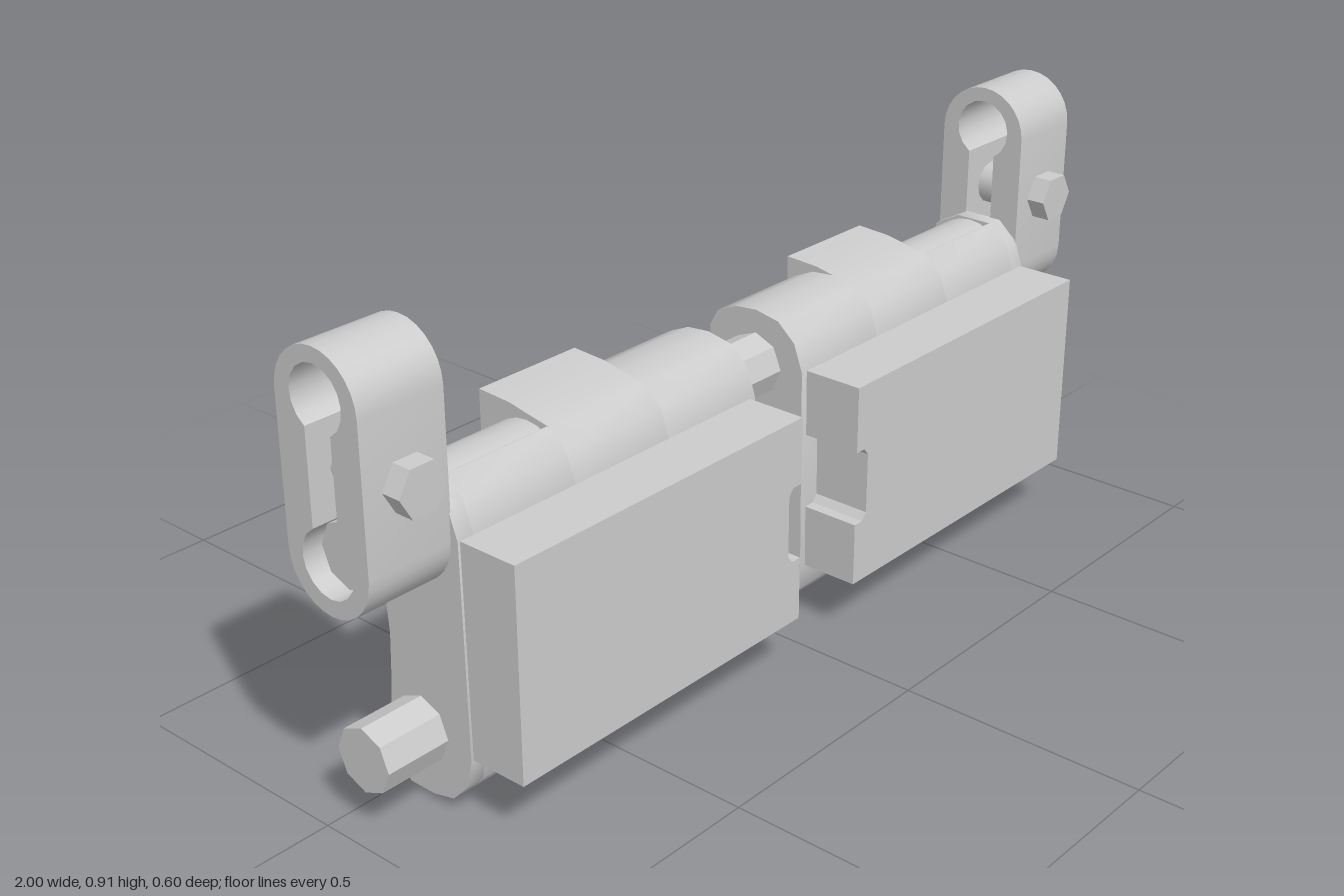
import * as THREE from 'three';
import { toCreasedNormals } from 'three/addons/utils/BufferGeometryUtils.js';

const AXIS_Z = 0.06, TOP_Y = 0.53, LOW_Y = 0.138;

export function createModel() {
  const model = new THREE.Group();
  const mat = new THREE.MeshStandardMaterial({ color: 0xcccccc });
  const flat = new THREE.MeshStandardMaterial({ color: 0xcccccc, flatShading: true });

  const add = (parent, name, geo, material = mat) => {
    const mesh = new THREE.Mesh(geo, material);
    mesh.name = name;
    parent.add(mesh);
    return mesh;
  };

  const extrude = (shape, depth, curveSegments = 6) =>
    new THREE.ExtrudeGeometry(shape, { depth, bevelEnabled: false, curveSegments });

  // Side profile given in (-z, y), extruded along x between a and b
  const alongX = (shape, a, b, segs) => {
    const geo = extrude(shape, Math.abs(b - a), segs);
    geo.rotateY(Math.PI / 2).translate(Math.min(a, b), 0, 0);
    return toCreasedNormals(geo, 0.75);
  };
  const profile = (pts) => new THREE.Shape(pts.map(([z, y]) => new THREE.Vector2(-z, y)));

  // Round bar along x
  const bar = (r, a, b, y, sides) => {
    const geo = new THREE.CylinderGeometry(r, r, Math.abs(b - a), sides);
    return geo.rotateZ(Math.PI / 2).translate((a + b) / 2, y, AXIS_Z);
  };
  const box = (x, y, z, w, h, d) => new THREE.BoxGeometry(w, h, d).translate(x, y, z);

  // Shared front contour of the link body, bottom to top
  const front = [[0.08, 0.01], [0.13, 0.022], [0.167, 0.062], [0.18, 0.12], [0.175, 0.54], [0.155, 0.595], [0.115, 0.63]];
  const innerProfile = profile([...front, [0.06, 0.64], [0.01, 0.635], [-0.035, 0.615], [-0.055, 0.58], [-0.055, 0], [0, 0.01]]);
  const outerProfile = profile([...front, [0.06, 0.64], [0.02, 0.648], [-0.055, 0.652], [-0.055, 0.07], [-0.03, 0.035], [0.02, 0.012]]);
  const shellProfile = profile([[0.11, 0.025], ...front.slice(1), [0.11, 0.63]]);
  const plateProfile = profile([...front, [0.03, 0.63], [-0.025, 0.6], [-0.04, 0.52], [-0.02, 0.42], [-0.01, 0.3],
    [-0.015, 0.2], [-0.022, 0.12], [-0.01, 0.05], [0.02, 0.01]]);

  // End connector: stadium outline with a keyhole slot
  const connector = new THREE.Shape();
  connector.absarc(-AXIS_Z, 0.813, 0.098, 0, Math.PI, false);
  connector.absarc(-AXIS_Z, 0.533, 0.098, Math.PI, 2 * Math.PI, false);
  connector.closePath();
  const keyhole = new THREE.Path();
  keyhole.absarc(-AXIS_Z, 0.82, 0.062, -Math.PI / 3, Math.PI * 4 / 3, false);
  keyhole.absarc(-AXIS_Z, TOP_Y, 0.063, Math.PI * 2 / 3, Math.PI * 7 / 3, false);
  keyhole.closePath();
  connector.holes.push(keyhole);

  for (const s of [1, -1]) {
    const half = new THREE.Group();
    half.name = s > 0 ? 'leftLink' : 'rightLink';
    model.add(half);

    // Solid inner body with staggered edges top and bottom
    add(half, 'bodyInner', alongX(innerProfile, s * 0.07, s * 0.31));
    add(half, 'bodyOuter', alongX(outerProfile, s * 0.31, s * 0.55));

    // Open outer part: front wall, two pin tubes, rib and end plate
    add(half, 'frontWall', alongX(shellProfile, s * 0.55, s * 0.79));
    add(half, 'upperTube', bar(0.097, s * 0.55, s * 0.79, TOP_Y, 24));
    add(half, 'lowerTube', bar(0.097, s * 0.55, s * 0.79, 0.125, 24));
    add(half, 'rib', box(s * 0.665, 0.33, 0.07, 0.05, 0.3, 0.1));
    add(half, 'endPlate', alongX(plateProfile, s * 0.79, s * 0.825));

    // Front pad with a notch on its inner edge
    const pad = new THREE.Shape([[0.085, 0.12], [0.82, 0.12], [0.82, 0.54], [0.085, 0.54], [0.085, 0.405],
      [0.108, 0.405], [0.12, 0.39], [0.12, 0.265], [0.108, 0.25], [0.085, 0.25]]
      .map(([x, y]) => new THREE.Vector2(s * x, y)));
    add(half, 'pad', extrude(pad, 0.135).translate(0, 0, 0.165), flat);

    // End connector and its clamping bolt
    add(half, 'endConnector', alongX(connector, s * 0.822, s, 7));
    const head = new THREE.CylinderGeometry(0.051, 0.051, 0.05, 6, 1, false, Math.PI / 6);
    add(half, 'boltHead', head.rotateX(Math.PI / 2).translate(s * 0.91, 0.676, 0.173), flat);
    const shaft = new THREE.CylinderGeometry(0.045, 0.045, 0.09, 12);
    add(half, 'boltShaft', shaft.rotateX(Math.PI / 2).translate(s * 0.91, 0.676, AXIS_Z));
  }

  // Eight-sided pins running the full width
  add(model, 'upperPin', bar(0.063, -0.96, 0.96, TOP_Y, 8), flat);
  add(model, 'lowerPin', bar(0.064, -0.96, 0.98, LOW_Y, 8), flat);

  // Centre bridge and the tapered guide horn behind it
  add(model, 'centreBridge', box(0, 0.33, 0.02, 0.16, 0.22, 0.13), flat);
  const horn = new THREE.Shape([[-0.065, 0.05], [0.065, 0.05], [0.024, 0.303], [-0.024, 0.303]]
    .map((p) => new THREE.Vector2(...p)));
  const opening = new THREE.Path([[-0.042, 0.062], [0, 0.265], [0.042, 0.062]].map((p) => new THREE.Vector2(...p)));
  horn.holes.push(opening);
  add(model, 'guideHorn', extrude(horn, 0.14).rotateX(-Math.PI / 2).translate(0, 0.25, 0), flat);
  const web = extrude(new THREE.Shape(opening.getPoints()), 0.03);
  add(model, 'hornWeb', web.rotateX(-Math.PI / 2).translate(0, 0.305, 0), flat);

  return model;
}
